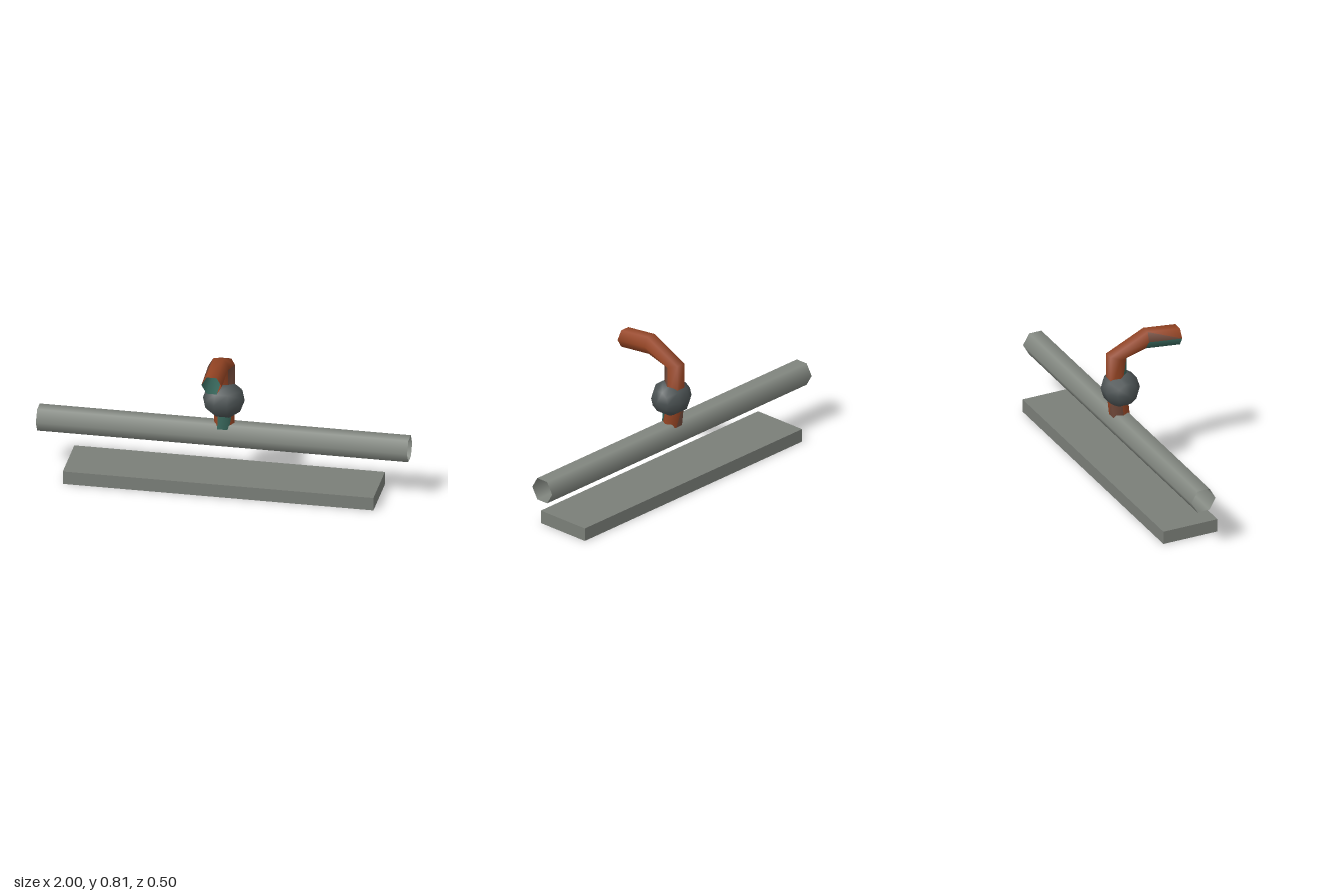
import * as THREE from 'three';

const mat = (name, color, side = THREE.FrontSide) => {
  const m = new THREE.MeshStandardMaterial({ color, side });
  m.name = name;
  return m;
};

export function createModel() {
  const stone = mat('grey stone', 0x7a7e78);
  const steel = mat('pale steel', 0x858a83, THREE.DoubleSide);
  const iron = mat('dark iron', 0x4c5354);
  const copper = mat('copper', 0x964524, THREE.DoubleSide);
  const verdigris = mat('verdigris', 0x37655a, THREE.DoubleSide);
  const tarnish = mat('tarnished copper', 0x71493a, THREE.DoubleSide);

  const group = new THREE.Group();
  const add = (name, geometry, material, x, y, z) => {
    const mesh = new THREE.Mesh(geometry, material);
    mesh.name = name;
    mesh.position.set(x, y, z);
    group.add(mesh);
    return mesh;
  };

  // Flat slab at the bottom
  add('baseSlab', new THREE.BoxGeometry(1.674, 0.073, 0.32), stone, 0, 0.0365, -0.09);

  // Open six-sided pipe lying along x, with edges at front and back
  const pipe = new THREE.CylinderGeometry(0.072, 0.072, 2, 6, 1, true);
  pipe.rotateZ(Math.PI / 2);
  add('crossPipe', pipe, steel, 0, 0.3, -0.094);

  // Faceted ball around the neck, poles along x
  const ball = new THREE.SphereGeometry(0.104, 10, 5);
  ball.rotateZ(Math.PI / 2);
  ball.rotateX(Math.PI / 2);
  ball.scale(1.08, 1, 1);
  add('neckBall', ball, iron, 0, 0.503, -0.089);

  // Bent six-sided spout: each ring is [y, z, inner side y, inner side z]
  const rings = [
    [0.3, -0.089, 0, 1],
    [0.5, -0.111, 0, 1],
    [0.6975, -0.1125, -0.26, 0.965],
    [0.7645, 0.054, -0.992, -0.125],
    [0.7415, 0.25, -1, 0],
  ];
  // Two letters per face, running from the left inner face round to the left outer one
  const patina = ['cvvvcctttccc', 'ttccvccccccc', 'cccccccccccc', 'ccvvvvtccccc'];
  const finishes = { c: 0, v: 1, t: 2 };
  const r = 0.055;
  const points = [];
  for (const [y, z, ny, nz] of rings) {
    for (let k = 0; k < 6; k++) {
      const a = (k * Math.PI) / 3;
      const s = r * Math.sin(a);
      points.push(r * Math.cos(a), y + ny * s, z + nz * s);
    }
  }
  const faces = [[], [], []];
  patina.forEach((row, i) => {
    for (let k = 0; k < 6; k++) {
      const a = i * 6 + k;
      const b = i * 6 + ((k + 1) % 6);
      faces[finishes[row[2 * k]]].push(a, a + 6, b);
      faces[finishes[row[2 * k + 1]]].push(b, a + 6, b + 6);
    }
  });
  const spout = new THREE.BufferGeometry();
  spout.setAttribute('position', new THREE.Float32BufferAttribute(points, 3));
  spout.setIndex(faces.flat());
  let start = 0;
  faces.forEach((list, i) => {
    spout.addGroup(start, list.length, i);
    start += list.length;
  });
  spout.computeVertexNormals();
  add('spout', spout, [copper, verdigris, tarnish], 0, 0, 0);

  return group;
}
